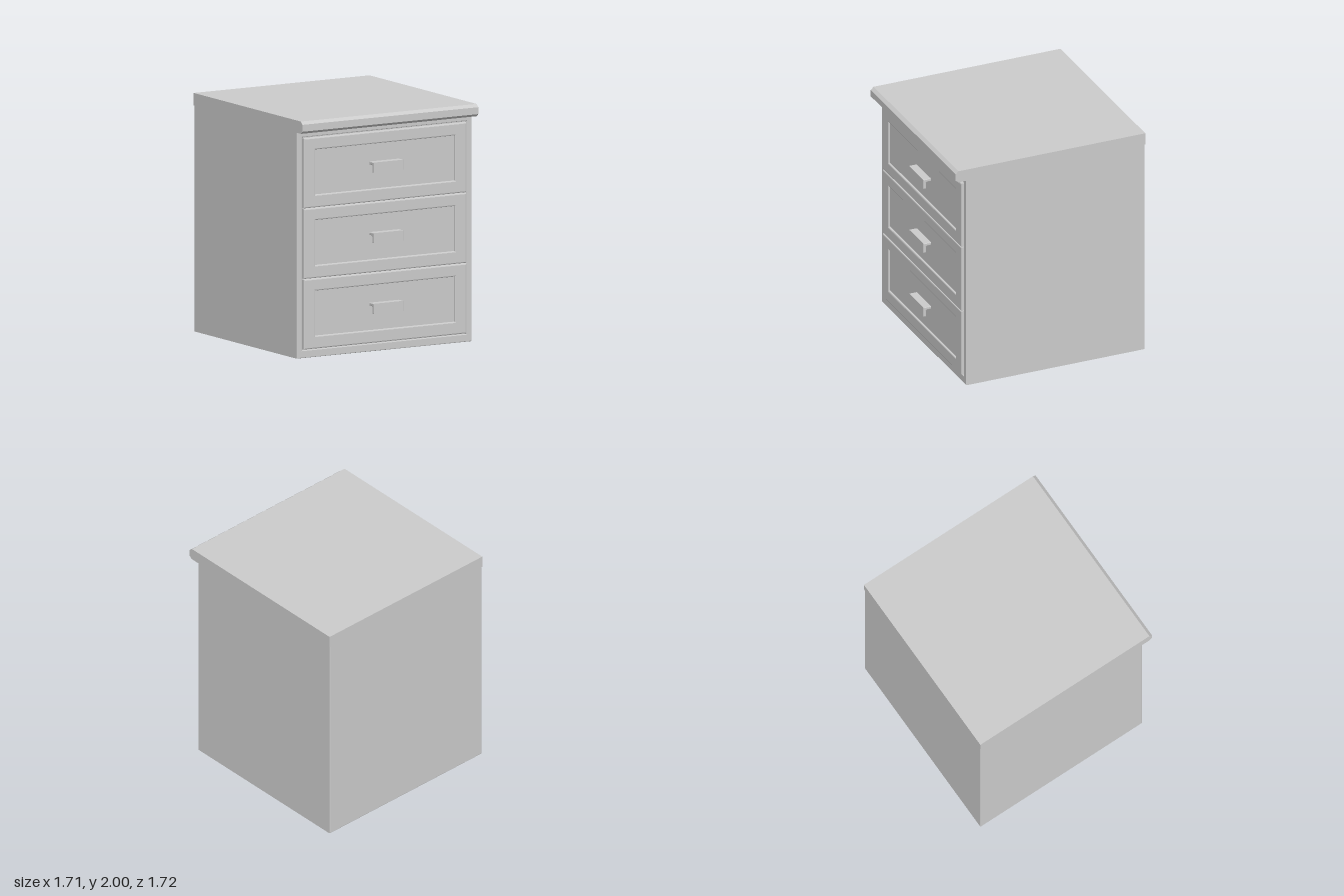
import * as THREE from 'three';

const material = new THREE.MeshStandardMaterial({ color: 0xcccccc, flatShading: true });

function add(parent, name, geometry) {
  const mesh = new THREE.Mesh(geometry, material);
  mesh.name = name;
  parent.add(mesh);
  return mesh;
}

// Box given by its lower and upper limits
function boxBetween(x0, x1, y0, y1, z0, z1) {
  return new THREE.BoxGeometry(x1 - x0, y1 - y0, z1 - z0)
    .translate((x0 + x1) / 2, (y0 + y1) / 2, (z0 + z1) / 2);
}

function rectPoints(halfW, y0, y1) {
  return [[-halfW, y0], [halfW, y0], [halfW, y1], [-halfW, y1]].map(p => new THREE.Vector2(...p));
}

// Bevelled rectangular frame with a rectangular opening, from z0 to z1
function frame(outer, inner, z0, z1, bevel) {
  const shape = new THREE.Shape(outer);
  shape.holes.push(new THREE.Path(inner));
  return new THREE.ExtrudeGeometry(shape, {
    depth: z1 - z0 - 2 * bevel, bevelEnabled: true, bevelSegments: 2,
    bevelSize: bevel, bevelThickness: bevel, bevelOffset: -bevel,
  }).translate(0, 0, z0 + bevel);
}

// Side profile of [z, y] points swept across the width
function sweepAcross(points, width, bevel = 0) {
  const shape = new THREE.Shape(points.map(p => new THREE.Vector2(...p)));
  return new THREE.ExtrudeGeometry(shape, {
    depth: width - 2 * bevel, bevelEnabled: bevel > 0, bevelSegments: 2,
    bevelSize: bevel, bevelThickness: bevel, bevelOffset: -bevel,
  }).translate(0, 0, -width / 2 + bevel).rotateY(-Math.PI / 2);
}

export function createModel() {
  const model = new THREE.Group();
  model.name = 'drawerCabinet';

  // Carcass with a shallow opening at the front
  const body = new THREE.Group();
  body.name = 'body';
  model.add(body);
  add(body, 'carcass', frame(rectPoints(0.848, 0, 1.91), rectPoints(0.798, 0.065, 1.852), -0.857, 0.765, 0.006));
  add(body, 'core', boxBetween(-0.82, 0.82, 0.04, 1.88, -0.857, 0.745));

  // Worktop with a chamfered overhanging front edge
  add(model, 'worktop', sweepAcross([
    [-0.86, 1.897], [0.838, 1.897], [0.862, 1.918], [0.862, 1.976], [0.835, 2], [-0.86, 2],
  ], 1.706));

  // Three identical drawers
  for (let i = 0; i < 3; i++) {
    const drawer = new THREE.Group();
    drawer.name = `drawer${i + 1}`;
    drawer.position.y = 0.073 + i * 0.592;
    model.add(drawer);
    add(drawer, 'drawerFrame', frame(rectPoints(0.79, 0, 0.587), rectPoints(0.676, 0.107, 0.485), 0.74, 0.782, 0.01));
    add(drawer, 'drawerPanel', boxBetween(-0.7, 0.7, 0.09, 0.5, 0.74, 0.766));

    // L-shaped pull: a ledge with a lip hanging down in front
    add(drawer, 'handle', sweepAcross([
      [0.762, 0.312], [0.802, 0.312], [0.811, 0.303], [0.811, 0.252],
      [0.834, 0.252], [0.834, 0.337], [0.762, 0.337],
    ], 0.29, 0.005));
  }
  return model;
}
